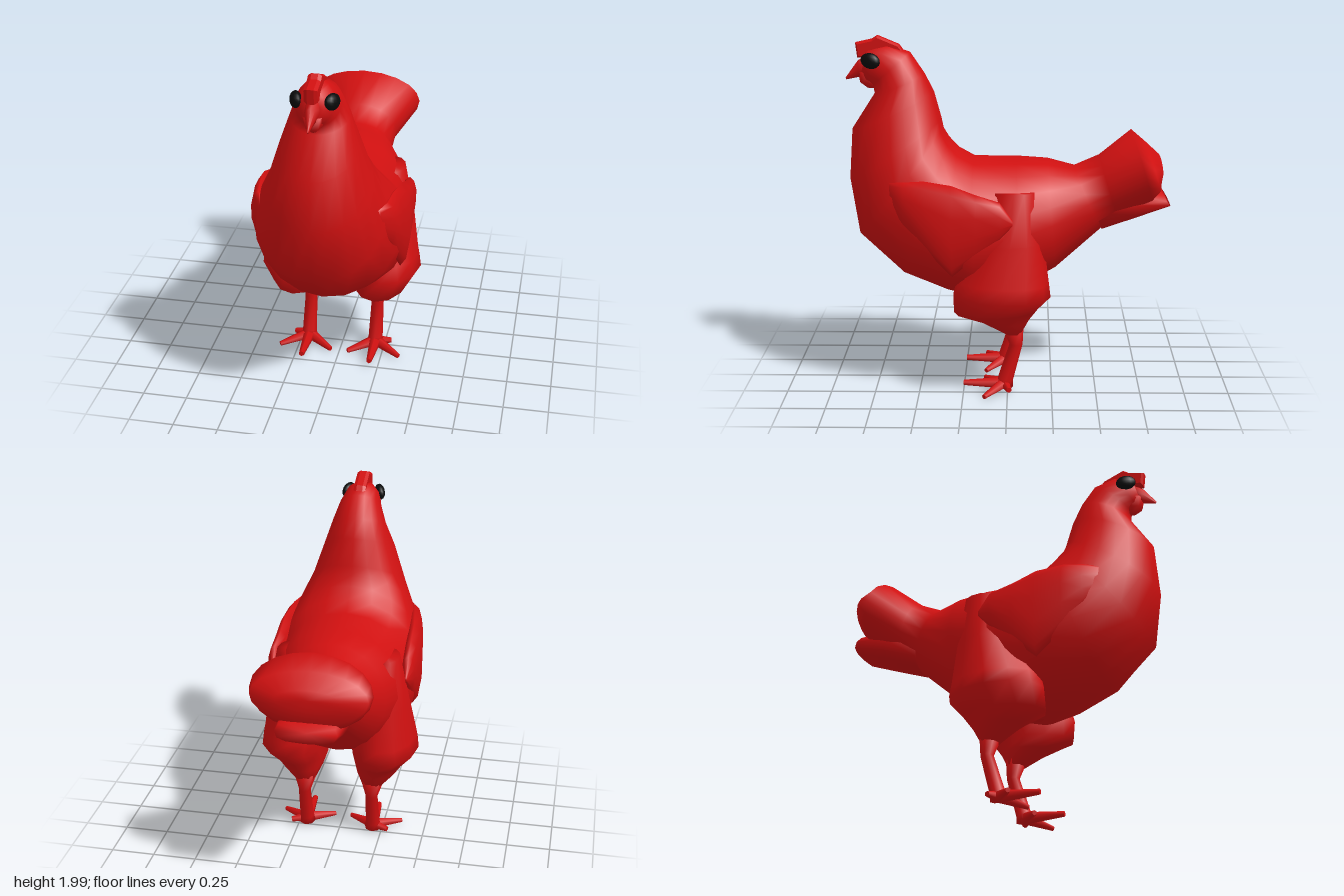
import * as THREE from 'three';

const red = new THREE.MeshStandardMaterial({ color: 0xd01010, side: THREE.DoubleSide });
const black = new THREE.MeshStandardMaterial({ color: 0x0a0a0a });

// Skin over oval rings. Each ring: [z1, y1, z2, y2, halfWidth, centreX],
// where (z1, y1) and (z2, y2) are its two opposite points in the x = centreX plane.
function loft(name, rings, n = 16, power = 1) {
  const pos = [], idx = [];
  const bulge = (v) => Math.sign(v) * Math.abs(v) ** power;
  for (const [z1, y1, z2, y2, w, cx = 0] of rings) {
    for (let i = 0; i < n; i++) {
      const a = (i / n) * Math.PI * 2, c = bulge(Math.cos(a)), s = bulge(Math.sin(a));
      pos.push(cx + w * s, (y1 + y2) / 2 + c * (y1 - y2) / 2, (z1 + z2) / 2 + c * (z1 - z2) / 2);
    }
  }
  for (let r = 0; r < rings.length - 1; r++) {
    for (let i = 0; i < n; i++) {
      const a = r * n + i, b = r * n + (i + 1) % n;
      idx.push(a, a + n, b, b, a + n, b + n);
    }
  }
  // End caps
  const last = (rings.length - 1) * n;
  for (const start of [0, last]) {
    const [z1, y1, z2, y2, , cx = 0] = rings[start / n];
    const centre = pos.length / 3;
    pos.push(cx, (y1 + y2) / 2, (z1 + z2) / 2);
    for (let i = 0; i < n; i++) {
      const a = start + i, b = start + (i + 1) % n;
      if (start === 0) idx.push(centre, a, b);
      else idx.push(centre, b, a);
    }
  }
  const g = new THREE.BufferGeometry();
  g.setAttribute('position', new THREE.Float32BufferAttribute(pos, 3));
  g.setIndex(idx);
  g.computeVertexNormals();
  const m = new THREE.Mesh(g, red);
  m.name = name;
  return m;
}

// Tapered limb between two points
function taper(name, from, to, r1, r2, sides = 6) {
  const a = new THREE.Vector3(...from), b = new THREE.Vector3(...to), d = b.clone().sub(a);
  const m = new THREE.Mesh(new THREE.CylinderGeometry(r2, r1, d.length(), sides), red);
  m.position.copy(a).add(b).multiplyScalar(0.5);
  m.quaternion.setFromUnitVectors(new THREE.Vector3(0, 1, 0), d.normalize());
  m.name = name;
  return m;
}

// Thin plate in the z-y plane, centred on x = 0
function plate(name, points, thickness) {
  const shape = new THREE.Shape(points.map(([z, y]) => new THREE.Vector2(-z, y)));
  const g = new THREE.ExtrudeGeometry(shape, {
    depth: thickness / 2, bevelEnabled: true, bevelThickness: thickness / 4, bevelSize: 0.01, bevelOffset: -0.01, bevelSegments: 1,
  });
  g.translate(0, 0, -thickness / 4);
  g.rotateY(Math.PI / 2);
  const m = new THREE.Mesh(g, red);
  m.name = name;
  return m;
}

export function createModel() {
  const hen = new THREE.Group();
  hen.name = 'hen';

  // Tail fan, back, breast, neck and head in one skin
  hen.add(loft('body', [
    [-0.85, 1.33, -0.86, 1.22, 0.17],
    [-0.77, 1.40, -0.85, 1.14, 0.31],
    [-0.69, 1.47, -0.81, 1.08, 0.325],
    [-0.51, 1.33, -0.62, 0.98, 0.215],
    [-0.37, 1.27, -0.53, 0.92, 0.205],
    [-0.22, 1.31, -0.27, 0.69, 0.31],
    [-0.05, 1.32, -0.08, 0.58, 0.38],
    [0.19, 1.32, 0.18, 0.52, 0.415],
    [0.28, 1.37, 0.34, 0.56, 0.425],
    [0.33, 1.43, 0.59, 0.66, 0.40],
    [0.36, 1.49, 0.84, 0.89, 0.345],
    [0.37, 1.54, 0.89, 1.20, 0.275],
    [0.41, 1.69, 0.87, 1.48, 0.205],
    [0.46, 1.79, 0.74, 1.68, 0.155],
    [0.54, 1.91, 0.75, 1.73, 0.12],
    [0.66, 1.95, 0.79, 1.75, 0.10],
    [0.77, 1.93, 0.81, 1.79, 0.06],
  ], 20));

  // Under-tail feathers
  hen.add(loft('lowerTail', [
    [-0.85, 1.15, -0.91, 1.06, 0.165],
    [-0.68, 1.18, -0.72, 0.99, 0.18],
    [-0.45, 1.15, -0.53, 0.92, 0.17],
  ], 12, 0.7));

  // Comb, beak and wattle
  hen.add(plate('comb', [[0.55, 1.88], [0.60, 1.95], [0.72, 2.0], [0.75, 1.98], [0.84, 1.96], [0.83, 1.88], [0.75, 1.88]], 0.07));
  hen.add(loft('beak', [
    [0.76, 1.91, 0.77, 1.77, 0.05],
    [0.83, 1.86, 0.82, 1.77, 0.03],
    [0.90, 1.765, 0.895, 1.755, 0.004],
  ], 8));
  hen.add(loft('wattle', [
    [0.83, 1.80, 0.70, 1.80, 0.06],
    [0.82, 1.74, 0.71, 1.74, 0.045],
    [0.78, 1.71, 0.74, 1.71, 0.015],
  ], 8));

  for (const s of [1, -1]) {
    const side = s > 0 ? 'left' : 'right';

    // Eye
    const eye = new THREE.Mesh(new THREE.SphereGeometry(1, 14, 10), black);
    eye.scale.set(0.03, 0.043, 0.057);
    eye.position.set(s * 0.092, 1.87, 0.75);
    eye.rotation.set(-0.2, s * -0.35, 0);
    eye.name = side + 'Eye';
    hen.add(eye);

    // Folded wing
    hen.add(loft(side + 'Wing', [
      [-0.03, 1.05, -0.03, 1.02, 0.01, s * 0.385],
      [0.04, 1.15, 0.04, 0.94, 0.04, s * 0.385],
      [0.17, 1.19, 0.17, 0.84, 0.05, s * 0.38],
      [0.30, 1.24, 0.30, 0.73, 0.055, s * 0.378],
      [0.45, 1.26, 0.45, 0.88, 0.055, s * 0.36],
      [0.56, 1.25, 0.56, 1.00, 0.045, s * 0.345],
      [0.64, 1.24, 0.63, 1.08, 0.02, s * 0.31],
    ], 10));

    // Feathered thigh
    hen.add(loft(side + 'Thigh', [
      [0.08, 1.18, -0.15, 1.18, 0.08, s * 0.27],
      [0.17, 0.90, -0.20, 0.90, 0.17, s * 0.24],
      [0.28, 0.68, -0.23, 0.66, 0.19, s * 0.255],
      [0.30, 0.60, -0.24, 0.58, 0.195, s * 0.265],
      [0.30, 0.48, -0.17, 0.50, 0.155, s * 0.235],
      [0.15, 0.43, -0.12, 0.43, 0.12, s * 0.22],
      [0.02, 0.35, -0.08, 0.35, 0.06, s * 0.2],
    ], 12));

    // Shank
    hen.add(loft(side + 'Shank', [
      [0.03, 0.38, -0.09, 0.38, 0.07, s * 0.2],
      [-0.01, 0.28, -0.085, 0.28, 0.036, s * 0.2],
      [0.055, 0.08, -0.03, 0.06, 0.042, s * 0.2],
      [0.07, 0.04, -0.03, 0.02, 0.05, s * 0.2],
    ], 8));

    // Three front toes and a short hind toe
    const foot = new THREE.Group();
    foot.name = side + 'Foot';
    const ankle = [s * 0.2, 0.045, 0.02];
    foot.add(taper('middleToe', ankle, [s * 0.2, 0.045, 0.25], 0.036, 0.016));
    foot.add(taper('innerToe', ankle, [s * 0.05, 0.02, 0.13], 0.034, 0.014));
    foot.add(taper('outerToe', ankle, [s * 0.355, 0.02, 0.13], 0.034, 0.014));
    foot.add(taper('hindToe', ankle, [s * 0.29, 0.035, -0.01], 0.03, 0.016));
    hen.add(foot);
  }
  return hen;
}
